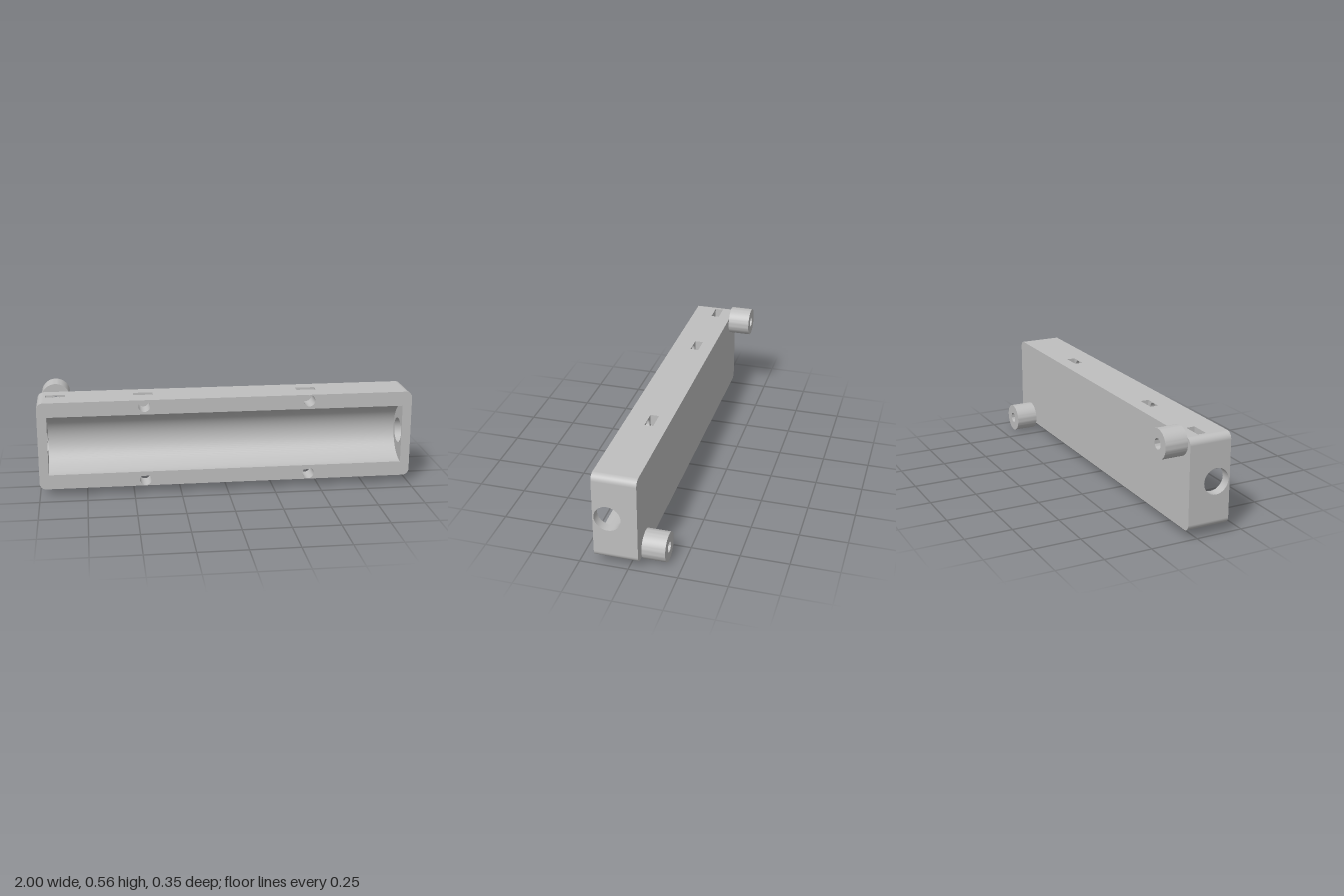
import * as THREE from 'three';
import { toCreasedNormals } from 'three/addons/utils/BufferGeometryUtils.js';

const W = 1, H = 0.236, R = 0.035;          // half width, half height, corner radius
const BACK = -0.052, FRONT = 0.173;         // body depth range
const MID = 0.281;                          // height of the body centre
const CAV_X = 0.95, CAV_R = 0.158;          // trough half length and radius
const BOLT_Y = 0.203, SCREW_X = 0.44;       // fastener rows
const SCREW_R = 0.031, BOLT_R = 0.028, FOOT_R = 0.076, FOOT_L = 0.12;
const PORT_Z = 0.098, PORT_R = 0.068;
const SLOT_W = 0.0525, SLOT_D = 0.045;      // nut slot half width and depth
const SCREW_SLOT_Z = 0.02, BOLT_SLOT_Z = 0.015;

const grey = new THREE.MeshStandardMaterial({ color: 0xbfbfbf, side: THREE.DoubleSide });
grey.name = 'plain grey';

function add(group, name, geometry, x = 0, y = 0, z = 0) {
  const mesh = new THREE.Mesh(geometry, grey);
  mesh.name = name;
  mesh.position.set(x, y, z);
  group.add(mesh);
  return mesh;
}

function poly(points, Type = THREE.Shape) {
  return new Type(points.map(([x, y]) => new THREE.Vector2(x, y)));
}

const rect = (x0, y0, x1, y1, Type) => poly([[x0, y0], [x1, y0], [x1, y1], [x0, y1]], Type);
const circle = (x, y, r) => new THREE.Path().absarc(x, y, r, 0, Math.PI * 2, true);

function face(shape, holes = []) {
  shape.holes.push(...holes);
  return new THREE.ShapeGeometry(shape, 32);
}

function roundedRect() {
  const s = new THREE.Shape();
  [[1, 1], [-1, 1], [-1, -1], [1, -1]].forEach(([sx, sy], i) =>
    s.absarc(sx * (W - R), sy * (H - R), R, i * Math.PI / 2, (i + 1) * Math.PI / 2, false));
  return s;
}

// Open tube along z
function tube(r, z0, z1, start = 0, sweep = Math.PI * 2, n = 32) {
  return new THREE.CylinderGeometry(r, r, z1 - z0, n, 1, true, start, sweep)
    .rotateX(Math.PI / 2).translate(0, 0, (z0 + z1) / 2);
}

// Nut slot open at the top, with a pointed floor and a hole in one wall
function nutSlot(group, x, z0, holeInFront, holeR) {
  const slot = new THREE.Group();
  slot.name = 'nutSlot';
  slot.position.set(x, BOLT_Y, z0);
  const k = SLOT_W / Math.sqrt(3), top = H - BOLT_Y;
  const outline = [[-SLOT_W, top], [-SLOT_W, -k], [0, -2 * k], [SLOT_W, -k], [SLOT_W, top]];
  const pos = [];
  for (let i = 0; i < outline.length - 1; i++) {
    const a = outline[i], b = outline[i + 1];
    pos.push(...a, 0, ...a, SLOT_D, ...b, 0, ...b, 0, ...a, SLOT_D, ...b, SLOT_D);
  }
  const walls = new THREE.BufferGeometry();
  walls.setAttribute('position', new THREE.Float32BufferAttribute(pos, 3));
  walls.computeVertexNormals();
  add(slot, 'slotWalls', walls);
  const hole = () => [circle(0, 0, holeR)];
  add(slot, 'slotBack', face(poly(outline), holeInFront ? [] : hole()));
  add(slot, 'slotFront', face(poly(outline), holeInFront ? hole() : []), 0, 0, SLOT_D);
  group.add(slot);
}

// Top side, one end and one foot; turned half round it makes the other half
function buildHalf(boltX) {
  const half = new THREE.Group();

  // Long side with three nut slots
  const slots = [[boltX, BOLT_SLOT_Z], [-SCREW_X, SCREW_SLOT_Z], [SCREW_X, SCREW_SLOT_Z]];
  const openings = slots.map(([x, z]) =>
    rect(x - SLOT_W, -z - SLOT_D, x + SLOT_W, -z, THREE.Path));
  add(half, 'longSide', face(rect(-W + R, -FRONT, W - R, -BACK), openings), 0, H)
    .rotation.x = -Math.PI / 2;
  slots.forEach(([x, z], i) => nutSlot(half, x, z, i > 0, i > 0 ? SCREW_R : BOLT_R));

  // Rounded corners
  for (const s of [-1, 1]) {
    add(half, 'roundedCorner',
      tube(R, BACK, FRONT, s > 0 ? Math.PI / 2 : Math.PI, Math.PI / 2, 10), s * (W - R), H - R);
  }

  // Screw bores from the front
  for (const s of [-1, 1]) {
    add(half, 'screwBore', tube(SCREW_R, SCREW_SLOT_Z + SLOT_D, FRONT), s * SCREW_X, BOLT_Y);
  }

  // End wall with its round port
  add(half, 'endWall', face(rect(BACK, -H + R, FRONT, H - R), [circle(PORT_Z, 0, PORT_R)]), -W)
    .rotation.y = -Math.PI / 2;
  const cap = new THREE.Shape().absarc(-FRONT, 0, CAV_R, -Math.PI / 2, Math.PI / 2, false);
  add(half, 'troughEnd', face(cap, [circle(-PORT_Z, 0, PORT_R)]), -CAV_X)
    .rotation.y = Math.PI / 2;
  add(half, 'portBore', tube(PORT_R, -W, -CAV_X).rotateY(Math.PI / 2), 0, 0, PORT_Z);

  // Standoff foot and its bolt bore
  const ring = new THREE.Shape().absarc(0, 0, FOOT_R, 0, Math.PI * 2, false);
  ring.holes.push(circle(0, 0, BOLT_R));
  const foot = new THREE.ExtrudeGeometry(ring,
    { depth: FOOT_L, bevelEnabled: false, curveSegments: 32 });
  add(half, 'foot', toCreasedNormals(foot, 0.6), boltX, BOLT_Y, BACK - FOOT_L);
  add(half, 'boltBore', tube(BOLT_R, BACK, BOLT_SLOT_Z), boltX, BOLT_Y);
  return half;
}

export function createModel() {
  const model = new THREE.Group();
  model.name = 'troughHousing';
  const body = new THREE.Group();
  body.name = 'body';
  body.position.y = MID;
  model.add(body);

  // Front rim
  const screws = [];
  for (const sx of [-1, 1]) for (const sy of [-1, 1]) {
    screws.push(circle(sx * SCREW_X, sy * BOLT_Y, SCREW_R));
  }
  add(body, 'frontRim', face(roundedRect(),
    [rect(-CAV_X, -CAV_R, CAV_X, CAV_R, THREE.Path), ...screws]), 0, 0, FRONT);

  // Back plate
  const boltA = -0.9025, boltB = 0.87;
  add(body, 'backPlate', face(roundedRect(),
    [circle(-boltA, BOLT_Y, BOLT_R), circle(-boltB, -BOLT_Y, BOLT_R)]), 0, 0, BACK)
    .rotation.y = Math.PI;

  // Half-round trough
  const trough = new THREE.CylinderGeometry(CAV_R, CAV_R, CAV_X * 2, 48, 1, true,
    Math.PI / 2, Math.PI).rotateZ(Math.PI / 2);
  add(body, 'trough', trough, 0, 0, FRONT);

  // Two halves, the lower one turned half round
  const upper = buildHalf(boltA);
  upper.name = 'upperHalf';
  const lower = buildHalf(-boltB);
  lower.name = 'lowerHalf';
  lower.rotation.z = Math.PI;
  body.add(upper, lower);
  return model;
}
